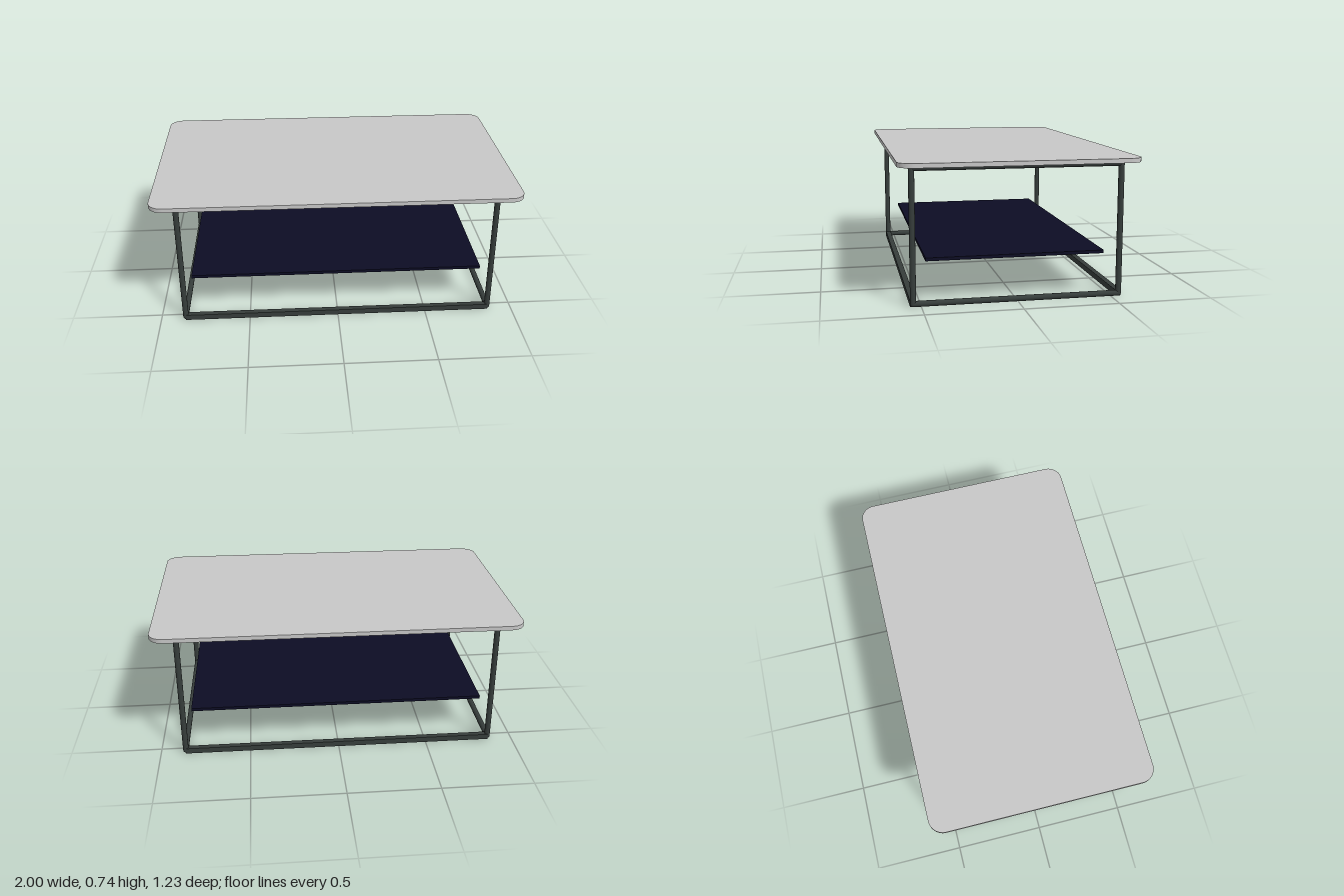
import * as THREE from 'three';

const material = (name, color) => {
  const m = new THREE.MeshStandardMaterial({ color });
  m.name = name;
  return m;
};

export function createModel() {
  const pale = material('pale grey top', 0xc8c8c8);
  const steel = material('dark steel', 0x363d3b);
  const navy = material('dark navy shelf', 0x0d0d24);

  const table = new THREE.Group();
  table.name = 'coffeeTable';
  const add = (parent, name, geometry, mat, x, y, z) => {
    const mesh = new THREE.Mesh(geometry, mat);
    mesh.name = name;
    mesh.position.set(x, y, z);
    parent.add(mesh);
    return mesh;
  };

  // Table top with rounded corners
  const w = 1, d = 0.617, r = 0.08;
  const outline = new THREE.Shape();
  outline.absarc(w - r, d - r, r, 0, Math.PI / 2);
  outline.absarc(-w + r, d - r, r, Math.PI / 2, Math.PI);
  outline.absarc(-w + r, -d + r, r, Math.PI, Math.PI * 1.5);
  outline.absarc(w - r, -d + r, r, Math.PI * 1.5, Math.PI * 2);
  const topGeometry = new THREE.ExtrudeGeometry(outline, { depth: 0.023, bevelEnabled: false, curveSegments: 10 });
  topGeometry.rotateX(-Math.PI / 2);
  add(table, 'tableTop', topGeometry, pale, 0, 0.72, 0);

  // Tubular end frames: two legs, a floor bar, a top bar and rounded joints
  const tube = 0.0155, legX = 0.862, legZ = 0.541, low = tube, high = 0.72 - tube;
  const legGeometry = new THREE.CylinderGeometry(tube, tube, high - low, 16);
  const crossGeometry = new THREE.CylinderGeometry(tube, tube, legZ * 2, 16).rotateX(Math.PI / 2);
  const jointGeometry = new THREE.SphereGeometry(tube, 16, 12);
  for (const side of [-1, 1]) {
    const frame = new THREE.Group();
    frame.name = side > 0 ? 'leftEndFrame' : 'rightEndFrame';
    frame.position.x = side * legX;
    table.add(frame);
    for (const y of [low, high]) {
      add(frame, y === low ? 'floorCrossBar' : 'topCrossBar', crossGeometry, steel, 0, y, 0);
      for (const z of [-legZ, legZ]) add(frame, 'cornerJoint', jointGeometry, steel, 0, y, z);
    }
    for (const z of [-legZ, legZ]) {
      add(frame, z > 0 ? 'frontLeg' : 'backLeg', legGeometry, steel, 0, (low + high) / 2, z);
    }
  }

  // Long floor rails joining the end frames
  const railGeometry = new THREE.BoxGeometry(legX * 2, tube * 2, tube * 2);
  for (const z of [-legZ, legZ]) {
    add(table, z > 0 ? 'frontFloorRail' : 'backFloorRail', railGeometry, steel, 0, low, z);
  }

  // Lower shelf
  add(table, 'shelf', new THREE.BoxGeometry(1.64, 0.017, 0.942), navy, 0, 0.231, 0);

  return table;
}
